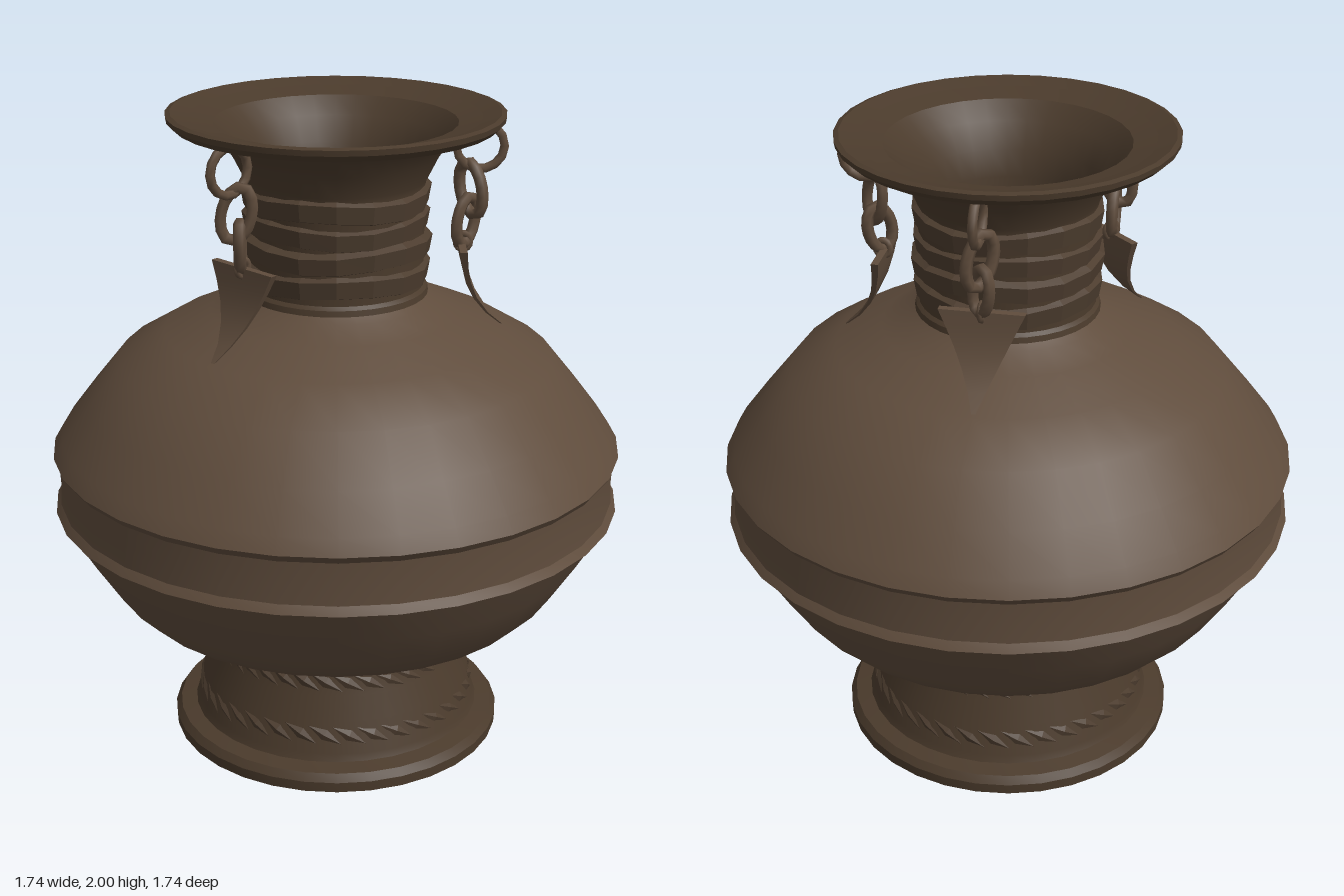
import * as THREE from 'three';
import { toCreasedNormals } from 'three/addons/utils/BufferGeometryUtils.js';

const bronze = new THREE.MeshStandardMaterial({ color: 0x5f4c3c });
const darkBronze = new THREE.MeshStandardMaterial({ color: 0x4b3b2c });
const darkFlat = new THREE.MeshStandardMaterial({ color: 0x4d3d2f, flatShading: true });
const inside = new THREE.MeshStandardMaterial({ color: 0x3a2814 });
const underside = new THREE.MeshStandardMaterial({ color: 0x17110c });

function add(parent, name, geometry, material = bronze) {
  const mesh = new THREE.Mesh(geometry, material);
  mesh.name = name;
  parent.add(mesh);
  return mesh;
}

function lathe(profile, sides = 32, crease = 0.5) {
  const points = profile.map(([r, y]) => new THREE.Vector2(r, y));
  return toCreasedNormals(new THREE.LatheGeometry(points, sides), crease);
}

// Ring of slanted strands lying on the sloping foot
function braid(parent, name, y, radius, lean) {
  const count = 36;
  const strand = new THREE.OctahedronGeometry(1);
  strand.scale(0.058, 0.018, 0.009);
  strand.rotateZ(-0.5);
  strand.rotateX(-lean);
  const band = new THREE.Group();
  band.name = name;
  for (let i = 0; i < count; i++) {
    const a = (i / count) * Math.PI * 2;
    const mesh = add(band, 'strand', strand, darkFlat);
    mesh.position.set(Math.sin(a) * radius, y + 0.005 * Math.sin(a * 3), Math.cos(a) * radius);
    mesh.rotation.y = a;
  }
  parent.add(band);
}

// Oval chain link, turned about the vertical and leaning in its own plane
function link(parent, y, z, halfWidth, halfHeight, yaw, lean, tube) {
  const curve = new THREE.CatmullRomCurve3(
    Array.from({ length: 10 }, (_, i) => {
      const a = (i / 10) * Math.PI * 2;
      return new THREE.Vector3(Math.cos(a) * halfWidth, Math.sin(a) * halfHeight, 0);
    }), true);
  const mesh = add(parent, 'chainLink', new THREE.TubeGeometry(curve, 14, tube, 6, true));
  mesh.position.set(0, y, z);
  mesh.rotation.set(0, yaw, lean);
}

// Triangular plate that sweeps outward toward its tip
function pendantGeometry() {
  const height = 0.27;
  const g = new THREE.BoxGeometry(0.25, height, 0.022, 1, 5, 1);
  const p = g.attributes.position;
  for (let i = 0; i < p.count; i++) {
    const t = 0.5 - p.getY(i) / height;
    p.setXYZ(i,
      p.getX(i) * Math.max(1 - t, 0.01),
      1.6 - height * t,
      p.getZ(i) * (1 - 0.8 * t) + 0.375 + 0.03 * t + 0.11 * t * t * t);
  }
  return toCreasedNormals(g, 0.5);
}

// Faceted collar with a slightly wavy edge
function neckBandGeometry(r, h, phase) {
  const g = new THREE.LatheGeometry([
    [r - 0.03, -h], [r - 0.005, -h * 0.75], [r + 0.004, h * 0.5], [r - 0.03, h],
  ].map(([x, y]) => new THREE.Vector2(x, y)), 16);
  const p = g.attributes.position;
  for (let i = 0; i < p.count; i++) {
    const a = Math.atan2(p.getX(i), p.getZ(i));
    p.setY(i, p.getY(i) + 0.007 * Math.sin(a * 3 + phase));
  }
  return g;
}

export function createModel() {
  const model = new THREE.Group();
  model.name = 'vase';

  // Flared foot with a rounded base ring
  add(model, 'foot', lathe([
    [0.5, 0], [0.52, 0.012], [0.522, 0.045], [0.505, 0.068], [0.455, 0.078],
    [0.445, 0.1], [0.425, 0.2], [0.392, 0.27], [0.375, 0.36],
  ]), darkBronze);
  const base = add(model, 'underside', new THREE.CircleGeometry(0.5, 32), underside);
  base.rotation.x = Math.PI / 2;
  braid(model, 'lowerBraid', 0.155, 0.432, 0.2);
  braid(model, 'upperBraid', 0.31, 0.382, 0.2);

  // Wide belly with a recessed band between two ridges
  add(model, 'belly', lathe([
    [0.36, 0.35], [0.39, 0.36], [0.52, 0.415], [0.645, 0.48], [0.705, 0.54], [0.785, 0.665],
    [0.855, 0.785], [0.872, 0.79], [0.856, 0.815], [0.853, 0.88], [0.856, 0.945],
    [0.872, 0.968], [0.845, 1.015], [0.765, 1.12], [0.66, 1.25], [0.52, 1.335],
    [0.38, 1.395], [0.3, 1.435], [0.268, 1.46],
  ]));

  // Neck and broad rim
  add(model, 'neck', lathe([
    [0.28, 1.44], [0.275, 1.47], [0.265, 1.48], [0.265, 1.78], [0.27, 1.8],
    [0.305, 1.87], [0.345, 1.93], [0.38, 1.957], [0.475, 1.958], [0.497, 1.978],
    [0.5, 1.995], [0.485, 2], [0.43, 1.984],
  ]), darkBronze);

  // Inner surface of the mouth, running down to a floor
  add(model, 'mouth', lathe([
    [0.43, 1.984], [0.36, 1.967], [0.31, 1.915], [0.265, 1.84], [0.245, 1.76], [0.243, 1.45],
  ]), darkBronze);
  const floor = add(model, 'mouthFloor', new THREE.CircleGeometry(0.245, 32), inside);
  floor.rotation.x = -Math.PI / 2;
  floor.position.y = 1.451;

  // Uneven bands wrapped around the neck
  [[1.755, 0.28, 0.042], [1.68, 0.277, 0.04], [1.61, 0.285, 0.04], [1.53, 0.279, 0.042]]
    .forEach(([y, r, h], k) => {
      add(model, 'neckBand', neckBandGeometry(r, h, k * 1.7), darkFlat).position.y = y;
    });

  // Three chains with pendants hung from the rim
  const plate = pendantGeometry();
  for (const degrees of [0, 135, -135]) {
    const chain = new THREE.Group();
    chain.name = 'pendantChain';
    chain.rotation.y = THREE.MathUtils.degToRad(degrees);
    link(chain, 1.89, 0.425, 0.071, 0.069, Math.PI / 2, 0, 0.014);
    link(chain, 1.762, 0.4, 0.043, 0.08, Math.PI / 4, -0.25, 0.018);
    link(chain, 1.665, 0.388, 0.04, 0.072, -Math.PI / 4, -0.25, 0.018);
    link(chain, 1.6, 0.38, 0.022, 0.025, Math.PI / 2, 0, 0.01);
    add(chain, 'pendant', plate);
    model.add(chain);
  }
  return model;
}
